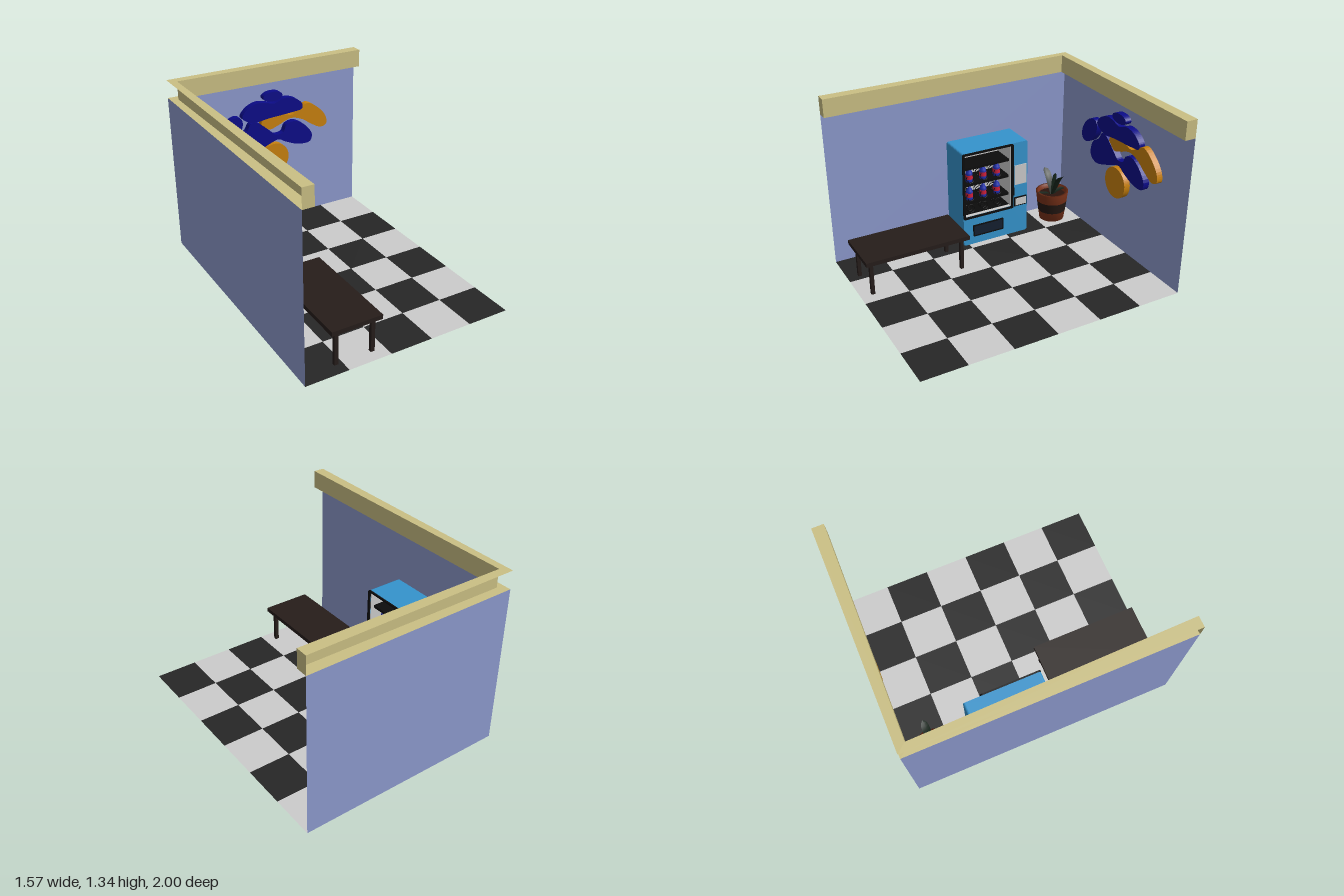
import * as THREE from 'three';

const mat = (color, double) => new THREE.MeshStandardMaterial({
  color, side: double ? THREE.DoubleSide : THREE.FrontSide,
});
const M = {
  wall: mat(0x8c99cc, true), trim: mat(0xcabf84, true), grey: mat(0xcccccc),
  tileLight: mat(0xcccccc, true), tileDark: mat(0x262626, true),
  machine: mat(0x3593cc), black: mat(0x0c0c0c), navy: mat(0x141f30),
  wood: mat(0x261d1a), clay: mat(0x7a3219, true), band: mat(0x241813),
  soil: mat(0x2b140e), leaf: mat(0x16241a, true),
  blue: mat(0x0b0b88), orange: mat(0xc7800e), bottle: mat(0x2030b0), label: mat(0xd0203c),
};

function add(parent, name, geo, material, x = 0, y = 0, z = 0) {
  const m = new THREE.Mesh(geo, material);
  m.name = name;
  m.position.set(x, y, z);
  parent.add(m);
  return m;
}

// box given by its limits on each axis
function box(parent, name, material, [x0, x1], [y0, y1], [z0, z1]) {
  return add(parent, name, new THREE.BoxGeometry(x1 - x0, y1 - y0, z1 - z0), material,
    (x0 + x1) / 2, (y0 + y1) / 2, (z0 + z1) / 2);
}

function group(parent, name) {
  const g = new THREE.Group();
  g.name = name;
  parent.add(g);
  return g;
}

const X = 0.785;

// chequered floor and two thin walls
function buildRoom(root) {
  const floor = group(root, 'floor');
  const w = 2 * X / 5, d = 2 / 6;
  const tile = new THREE.PlaneGeometry(w, d).rotateX(-Math.PI / 2);
  for (let i = 0; i < 5; i++) for (let j = 0; j < 6; j++)
    add(floor, 'tile', tile, (i + j) % 2 ? M.tileDark : M.tileLight, -X + (i + 0.5) * w, 0, -1 + (j + 0.5) * d);
  add(root, 'backWall', new THREE.PlaneGeometry(2 * X, 1.2), M.wall, 0, 0.6, -1);
  add(root, 'sideWall', new THREE.PlaneGeometry(2, 1.2).rotateY(Math.PI / 2), M.wall, -X, 0.6, 0);

  // hollow trim along the wall tops, open to the outside
  const outer = [[X, -1], [-X, -1], [-X, 1]];
  const inner = [[X, -0.915], [-0.73, -0.935], [-0.705, 1]];
  const lo = 1.2, hi = 1.335, pos = [];
  const quad = (...c) => [0, 1, 2, 0, 2, 3].forEach(k => pos.push(...c[k]));
  const at = ([x, z], y) => [x, y, z];
  for (let i = 0; i < 2; i++) {
    const [A, B, a, b] = [outer[i], outer[i + 1], inner[i], inner[i + 1]];
    quad(at(A, hi), at(B, hi), at(b, hi), at(a, hi));
    quad(at(A, lo), at(B, lo), at(b, lo), at(a, lo));
    quad(at(a, lo), at(a, hi), at(b, hi), at(b, lo));
  }
  for (const i of [0, 2])
    quad(at(outer[i], lo), at(outer[i], hi), at(inner[i], hi), at(inner[i], lo));
  const g = new THREE.BufferGeometry();
  g.setAttribute('position', new THREE.Float32BufferAttribute(pos, 3));
  g.computeVertexNormals();
  add(root, 'wallTrim', g, M.trim);
}

// rounded rectangle, as shape or hole
function roundRect(P, x0, x1, y0, y1, r) {
  const p = new P();
  p.absarc(x1 - r, y0 + r, r, -Math.PI / 2, 0);
  p.absarc(x1 - r, y1 - r, r, 0, Math.PI / 2);
  p.absarc(x0 + r, y1 - r, r, Math.PI / 2, Math.PI);
  p.absarc(x0 + r, y0 + r, r, Math.PI, 1.5 * Math.PI);
  p.closePath();
  return p;
}

// frame drawn in (-z, y), extruded towards +x
function sideFrame(outer, hole, depth) {
  const s = roundRect(THREE.Shape, ...outer);
  if (hole) s.holes.push(roundRect(THREE.Path, ...hole));
  return new THREE.ExtrudeGeometry(s, { depth, bevelEnabled: false, curveSegments: 4 }).rotateY(Math.PI / 2);
}

function buildMachine(root) {
  const g = group(root, 'vendingMachine');
  const body = [-0.05, 0.51, 0.008, 0.79, 0.015], win = [-0.035, 0.365, 0.255, 0.775, 0.005];
  add(g, 'bodyBack', sideFrame(body, null, 0.06), M.machine, -0.783);
  add(g, 'bodyFront', sideFrame(body, win, 0.208), M.machine, -0.723);
  add(g, 'windowFrame', sideFrame([-0.053, 0.383, 0.24, 0.79, 0.015], win, 0.012), M.black, -0.515);
  add(g, 'liner', sideFrame(win, [-0.031, 0.361, 0.259, 0.771, 0.004], 0.205), M.grey, -0.722);
  box(g, 'backPanel', M.grey, [-0.725, -0.718], [0.256, 0.774], [-0.364, 0.034]);

  // shelves with coils, the upper two stocked with bottles
  const profile = [[0, 0], [0.026, 0], [0.028, 0.01], [0.028, 0.03], [0.022, 0.045], [0.028, 0.06],
    [0.024, 0.08], [0.011, 0.1], [0.011, 0.118], [0, 0.118]].map(p => new THREE.Vector2(...p));
  const bottleGeo = new THREE.LatheGeometry(profile, 16);
  const labelGeo = new THREE.CylinderGeometry(0.0285, 0.0285, 0.034, 16);
  const coilPts = [];
  for (let k = 0; k <= 60; k++) {
    const a = k / 60 * Math.PI * 10;
    coilPts.push(new THREE.Vector3(k / 60 * 0.14, 0.03 * Math.sin(a), 0.03 * Math.cos(a)));
  }
  const coilGeo = new THREE.TubeGeometry(new THREE.CatmullRomCurve3(coilPts), 120, 0.003, 5);
  [0.255, 0.355, 0.508, 0.645].forEach((y, i) => {
    box(g, 'shelf', M.black, [-0.718, -0.545], [y - 0.01, y + 0.01], [-0.362, 0.032]);
    if (i === 3) return;
    for (const z of [-0.04, -0.158, -0.276]) {
      add(g, 'coil', coilGeo, M.black, -0.69, y + 0.038, z);
      if (i === 0) continue;
      add(g, 'bottle', bottleGeo, M.bottle, -0.59, y + 0.01, z);
      add(g, 'bottleLabel', labelGeo, M.label, -0.59, y + 0.052, z);
    }
  });

  // controls and delivery hatch
  box(g, 'keypad', M.grey, [-0.52, -0.509], [0.435, 0.6], [-0.5, -0.395]);
  box(g, 'coinFrame', M.black, [-0.52, -0.507], [0.248, 0.325], [-0.502, -0.393]);
  box(g, 'coinTray', M.grey, [-0.52, -0.503], [0.257, 0.316], [-0.494, -0.401]);
  box(g, 'handle', M.black, [-0.52, -0.503], [0.35, 0.42], [-0.388, -0.378]);
  add(g, 'hatchFrame', sideFrame([0.03, 0.295, 0.075, 0.172, 0.006], [0.038, 0.287, 0.083, 0.164, 0.004], 0.013), M.black, -0.518);
  box(g, 'hatch', M.navy, [-0.52, -0.511], [0.08, 0.168], [-0.29, -0.035]);
}

function buildTable(root) {
  const g = group(root, 'table');
  box(g, 'tableTop', M.wood, [-0.572, -0.202], [0.258, 0.29], [0.155, 0.955]);
  for (const x of [-0.52, -0.25]) for (const z of [0.203, 0.908])
    box(g, 'tableLeg', M.wood, [x - 0.014, x + 0.014], [0.004, 0.26], [z - 0.013, z + 0.013]);
}

// tapered blade swept along a curve of [distance out, height]
function leafGeometry(path, width) {
  const curve = new THREE.CatmullRomCurve3(path.map(([r, y]) => new THREE.Vector3(r, y, 0)));
  const g = new THREE.PlaneGeometry(1, 1, 10, 2);
  const p = g.attributes.position;
  for (let i = 0; i < p.count; i++) {
    const t = p.getX(i) + 0.5, s = p.getY(i) * 2;
    const half = width / 2 * (0.45 + 1.3 * t) * Math.sqrt(Math.max(0, 1 - t * t));
    const c = curve.getPoint(t);
    p.setXYZ(i, c.x, c.y + Math.abs(s) * half * 0.35, s * half);
  }
  g.computeVertexNormals();
  return g;
}

function buildPlant(root) {
  const g = group(root, 'pottedPlant');
  g.position.set(-0.595, 0, -0.795);
  const pot = [[0, 0.015], [0.1, 0.015], [0.132, 0.255], [0.112, 0.255], [0.108, 0.215]];
  add(g, 'pot', new THREE.LatheGeometry(pot.map(p => new THREE.Vector2(...p)), 32), M.clay).material.flatShading = false;
  add(g, 'potBand', new THREE.CylinderGeometry(0.1225, 0.1115, 0.085, 32, 1, true), M.band, 0, 0.1325);
  add(g, 'soil', new THREE.CylinderGeometry(0.109, 0.109, 0.01, 32), M.soil, 0, 0.215);
  const leaves = [
    [0, [[0, 0.21], [0.05, 0.3], [0.1, 0.39], [0.165, 0.445]], 0.06],
    [Math.PI, [[0, 0.21], [0.03, 0.29], [0.07, 0.36], [0.125, 0.41]], 0.06],
    [Math.PI / 2, [[0, 0.21], [0.04, 0.235], [0.08, 0.245], [0.125, 0.25]], 0.045],
    [-Math.PI / 2, [[0, 0.21], [0.04, 0.235], [0.08, 0.245], [0.135, 0.255]], 0.045],
    [0.2, [[0, 0.21], [0.01, 0.28], [0.02, 0.35], [0.03, 0.42]], 0.05],
  ];
  for (const [turn, path, width] of leaves)
    add(g, 'leaf', leafGeometry(path, width), M.leaf).rotation.y = turn;
}

// raised rounded shapes on the back wall
function buildWallArt(root) {
  const g = group(root, 'wallArt');
  const raise = (shape, material, depth = 0.05) => add(g, 'artShape',
    new THREE.ExtrudeGeometry(shape, { depth, bevelEnabled: false, curveSegments: 32 }), material, 0, 0, -0.998);
  const oval = (x, y, rx, ry, rot, material) =>
    raise(new THREE.Shape().absellipse(x, y, rx, ry, 0, Math.PI * 2, false, rot), material);
  const blob = (pts, material, depth) => {
    const c = new THREE.CatmullRomCurve3(pts.map(([x, y]) => new THREE.Vector3(x, y, 0)), true);
    raise(new THREE.Shape(c.getPoints(80).slice(0, -1).map(v => new THREE.Vector2(v.x, v.y))), material, depth);
  };
  oval(0.03, 1.075, 0.082, 0.038, 0, M.blue);
  oval(-0.33, 0.855, 0.125, 0.073, 0.88, M.blue);
  oval(0.03, 0.56, 0.122, 0.122, 0, M.orange);
  blob([[-0.235, 0.95], [-0.19, 1.01], [-0.1, 1.045], [-0.03, 1.035], [0.04, 1.017], [0.13, 1.045], [0.22, 1.025],
    [0.283, 0.97], [0.28, 0.93], [0.2, 0.917], [0, 0.905], [-0.14, 0.893], [-0.2, 0.915]], M.blue);
  blob([[-0.3, 0.7], [-0.275, 0.78], [-0.2, 0.835], [-0.165, 0.89], [-0.11, 0.885], [0, 0.795], [0.045, 0.757],
    [0.11, 0.765], [0.14, 0.82], [0.21, 0.838], [0.3, 0.79], [0.365, 0.7], [0.35, 0.64], [0.25, 0.635],
    [0.13, 0.68], [0.07, 0.712], [0, 0.695], [-0.1, 0.655], [-0.22, 0.623], [-0.285, 0.65]], M.blue);
  blob([[-0.075, 0.87], [-0.05, 0.91], [0.05, 0.92], [0.13, 0.908], [0.2, 0.895], [0.26, 0.93], [0.33, 0.965],
    [0.42, 0.915], [0.495, 0.825], [0.5, 0.76], [0.45, 0.74], [0.36, 0.785], [0.28, 0.84], [0.18, 0.868],
    [0.07, 0.83], [0, 0.81], [-0.055, 0.83]], M.orange, 0.047);
}

export function createModel() {
  const root = new THREE.Group();
  root.name = 'breakRoom';
  buildRoom(root);
  buildMachine(root);
  buildTable(root);
  buildPlant(root);
  buildWallArt(root);
  return root;
}
